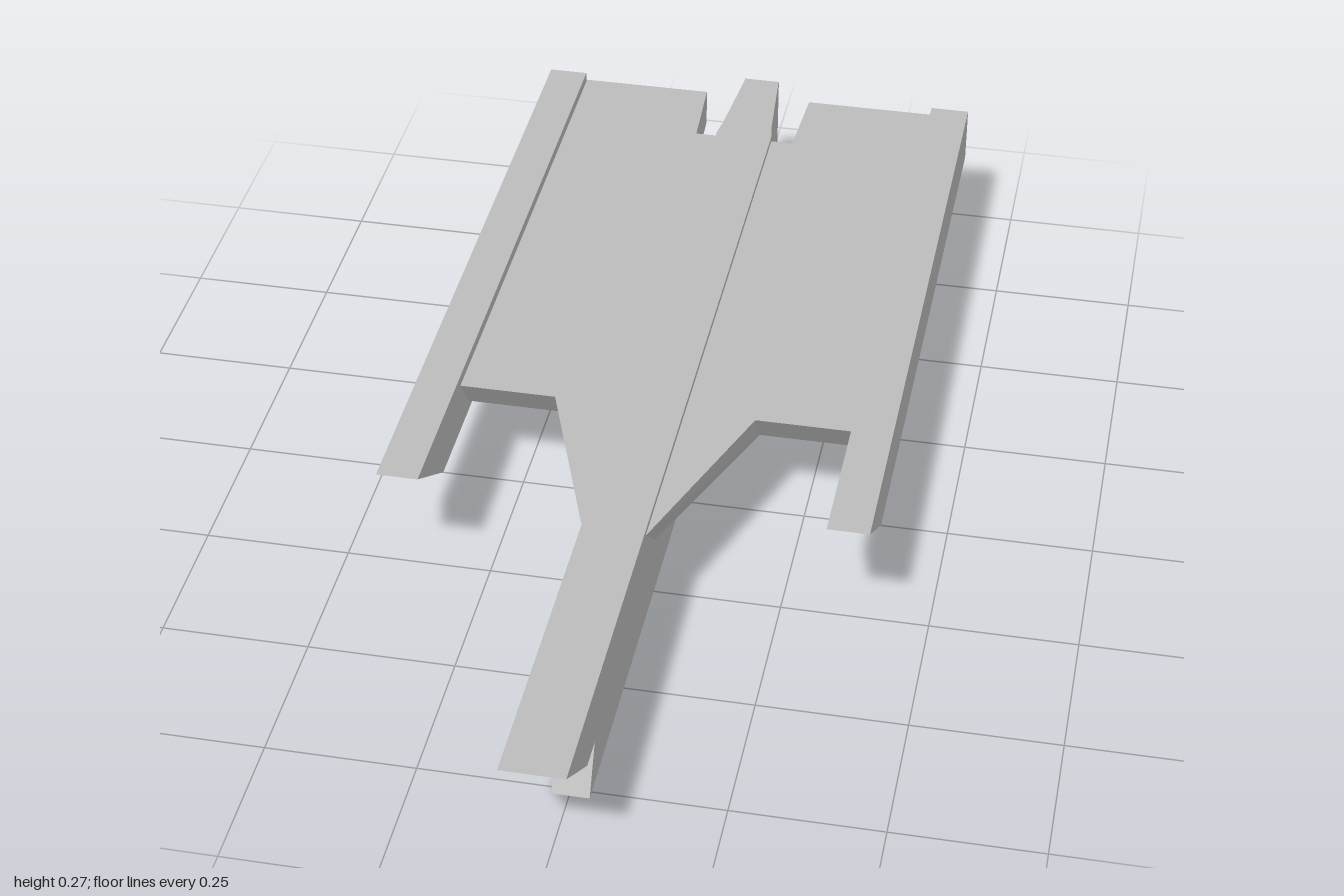
import * as THREE from 'three';

const grey = new THREE.MeshStandardMaterial({ color: 0xbcbcbc });
grey.name = 'hull grey';

const polygon = (points) => new THREE.Shape(points.map(([a, b]) => new THREE.Vector2(a, b)));
const mirrored = (half) => [...half, ...half.map(([x, z]) => [-x, z]).reverse()];

function addMesh(group, name, geometry) {
  const mesh = new THREE.Mesh(geometry, grey);
  mesh.name = name;
  group.add(mesh);
  return mesh;
}

// Side profile of [z, y] points, extruded across x
function profileBeam(points, centerX, width) {
  return new THREE.ExtrudeGeometry(polygon(points), { depth: width, bevelEnabled: false })
    .rotateY(-Math.PI / 2)
    .translate(centerX + width / 2, 0, 0);
}

// Plan outline of [x, z] points, extruded downward from the top height
function planSlab(points, top, bottom) {
  return new THREE.ExtrudeGeometry(polygon(points), { depth: top - bottom, bevelEnabled: false })
    .rotateX(Math.PI / 2)
    .translate(0, top, 0);
}

export function createModel() {
  const model = new THREE.Group();
  model.name = 'ship';

  // Long central spine with an undercut nose
  addMesh(model, 'spine', profileBeam([[1, 0.26], [0.86, 0.16], [-0.79, 0.16], [-0.79, 0.26]], 0, 0.104));

  // Tail fin, narrowing toward the back
  addMesh(model, 'tailFin', planSlab(
    mirrored([[0.052, -0.77], [0.052, -0.8], [0.047, -0.83], [0.035, -0.97], [0.033, -1]]), 0.26, 0.028));

  // Main wing plate with rear notches and a tapered, undercut front
  const wing = planSlab(mirrored([
    [0.052, 0.41], [0.172, 0.072], [0.338, 0.072], [0.338, -0.953],
    [0.1, -0.953], [0.092, -0.8], [0.03, -0.8],
  ]), 0.25, 0.182);
  const p = wing.attributes.position;
  for (let i = 0; i < p.count; i++) {
    if (p.getY(i) < 0.2 && p.getZ(i) > 0) p.setZ(i, p.getZ(i) - (Math.abs(p.getX(i)) < 0.1 ? 0.075 : 0.05));
  }
  wing.computeVertexNormals();
  addMesh(model, 'wingPlate', wing);

  // Side rails along the wing edges
  for (const [name, side] of [['leftRail', 1], ['rightRail', -1]]) {
    addMesh(model, name, profileBeam(
      [[0.36, 0.268], [0.205, 0.165], [-0.948, 0.165], [-0.948, 0.268]], side * 0.372, 0.07));
  }

  // Belly block under the wing
  addMesh(model, 'belly', profileBeam(
    [[-0.05, 0.183], [-0.168, 0.042], [-0.75, 0.042], [-0.75, 0.183]], 0, 0.298));

  // Narrow keel running below everything
  addMesh(model, 'keel', profileBeam(
    [[0.71, 0.102], [0.765, 0], [-0.81, 0], [-0.81, 0.102]], 0.002, 0.062));

  return model;
}
